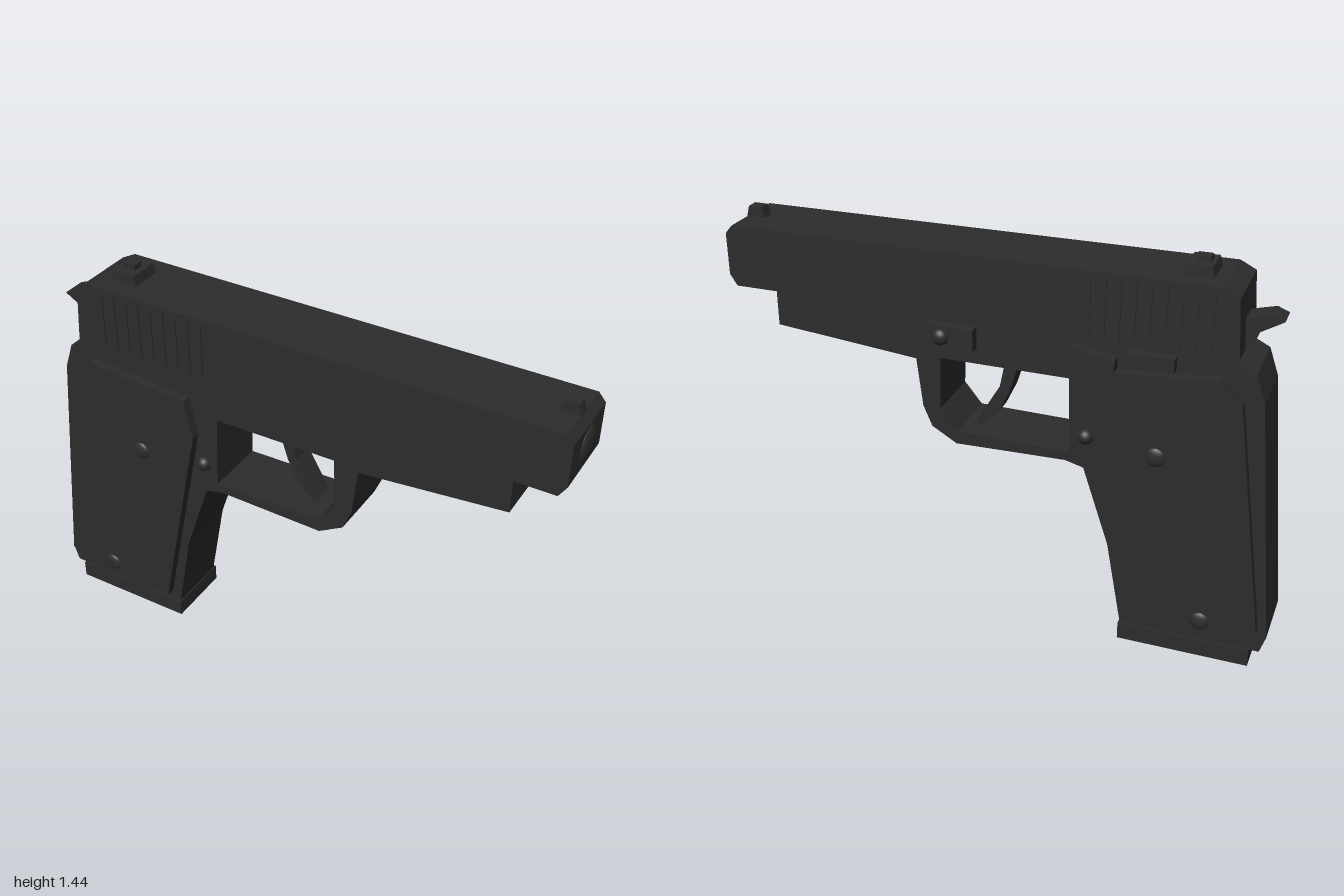
import * as THREE from 'three';

export function createModel() {
  const model = new THREE.Group();
  const body = new THREE.Group();
  body.name = 'body';
  body.position.z = 0.007;
  model.add(body);
  const black = new THREE.MeshStandardMaterial({ color: 0x2c2c2c });
  black.name = 'matte black';

  function add(name, geometry) {
    const mesh = new THREE.Mesh(geometry, black);
    mesh.name = name;
    body.add(mesh);
    return mesh;
  }
  const toPoints = (list) => list.map(([x, y]) => new THREE.Vector2(x, y));
  // side outline swept from z0 to z1
  function plate(name, outline, z0, z1, hole) {
    const shape = new THREE.Shape(toPoints(outline));
    if (hole) shape.holes.push(new THREE.Path(toPoints(hole)));
    const g = new THREE.ExtrudeGeometry(shape, { depth: z1 - z0, bevelEnabled: false });
    g.translate(0, 0, z0);
    return add(name, g);
  }
  function box(name, x0, x1, y0, y1, z0, z1) {
    const g = new THREE.BoxGeometry(x1 - x0, y1 - y0, z1 - z0);
    g.translate((x0 + x1) / 2, (y0 + y1) / 2, (z0 + z1) / 2);
    return add(name, g);
  }
  // flattened round head
  function dome(name, x, y, z, sx, sy, sz) {
    const mesh = add(name, new THREE.SphereGeometry(1, 24, 16));
    mesh.position.set(x, y, z);
    mesh.scale.set(sx, sy, sz);
  }

  // frame with handle and trigger guard opening
  plate('frame', [
    [-0.79, 1.152], [-0.88, 1.107], [-0.914, 1.01], [-1, 0.128], [-0.98, 0.064], [-0.48, 0.064],
    [-0.422, 0.38], [-0.326, 0.668], [-0.26, 0.685], [0.139, 0.674], [0.23, 0.727], [0.262, 0.802],
    [0.283, 0.979], [0.81, 1.027], [0.81, 1.152],
  ], -0.116, 0.116, [
    [-0.267, 0.995], [0.193, 0.995], [0.198, 0.8], [0.134, 0.722], [-0.276, 0.718],
  ]);
  box('magazineBase', -0.946, -0.475, 0, 0.064, -0.125, 0.125);

  // slide
  plate('slide', [
    [-0.825, 1.159], [0.957, 1.159], [0.983, 1.2], [0.983, 1.35], [0.957, 1.38],
    [-0.755, 1.388], [-0.81, 1.36],
  ], -0.131, 0.131);
  box('slideRail', -0.4, 0.78, 1.15, 1.162, -0.05, 0.05);
  dome('barrelEnd', 0.98, 1.28, 0, 0.019, 0.061, 0.061);

  // grip ribs along both rear flanks of the slide
  for (const side of [-1, 1]) {
    for (let i = 0; i < 9; i++) {
      const x = -0.72 + i * 0.05;
      const z = side * 0.132;
      box('slideRib', x - 0.017, x + 0.017, 1.166, 1.365, z - 0.003, z + 0.003);
    }
  }

  // sights
  const rearBase = box('rearSightBase', -0.715, -0.61, 1.38, 1.422, -0.058, 0.058);
  const p = rearBase.geometry.attributes.position;
  for (let i = 0; i < p.count; i++) {
    if (p.getY(i) > 1.4) p.setX(i, -0.6625 + (p.getX(i) + 0.6625) * 0.8);
  }
  rearBase.geometry.computeVertexNormals();
  box('rearSightPost', -0.69, -0.642, 1.42, 1.44, -0.02, 0.02);
  plate('frontSight', [[0.885, 1.375], [0.96, 1.375], [0.948, 1.418], [0.9, 1.418]], -0.022, 0.022);

  // hammer and trigger
  plate('hammer', [
    [-0.94, 1.267], [-0.865, 1.222], [-0.845, 1.162], [-0.8, 1.162], [-0.8, 1.257], [-0.9, 1.283],
  ], -0.043, 0.043);
  plate('trigger', [
    [-0.062, 1], [-0.058, 0.96], [-0.03, 0.87], [0.01, 0.785], [0.075, 0.72], [0.09, 0.74],
    [0.043, 0.82], [0.005, 0.885], [-0.01, 0.96], [-0.01, 1],
  ], -0.04, 0.04);

  // grip panels, screws and pins on both sides
  const panel = [
    [-0.775, 1.085], [-0.85, 1.01], [-0.968, 0.16], [-0.914, 0.107], [-0.513, 0.107],
    [-0.348, 0.91], [-0.38, 1.053],
  ];
  for (const side of [-1, 1]) {
    plate('gripPanel', panel, side > 0 ? 0.115 : -0.151, side > 0 ? 0.151 : -0.115);
    dome('gripScrew', -0.58, 0.775, side * 0.148, 0.035, 0.035, 0.015);
    dome('gripScrew', -0.77, 0.165, side * 0.148, 0.035, 0.035, 0.015);
    dome('framePin', -0.33, 0.79, side * 0.115, 0.028, 0.028, 0.028);
  }

  // controls on the far side
  plate('slideStop', [
    [-0.285, 1.125], [-0.43, 1.1], [-0.43, 1.06], [-0.395, 0.945], [-0.345, 0.945], [-0.32, 1.05],
  ], -0.155, -0.115);
  box('thumbCatch', -0.625, -0.47, 1.085, 1.135, -0.155, -0.115);
  box('takedownPlate', 0.06, 0.235, 1.05, 1.13, -0.152, -0.115);
  dome('takedownPin', 0.178, 1.09, -0.148, 0.03, 0.03, 0.024);

  return model;
}
